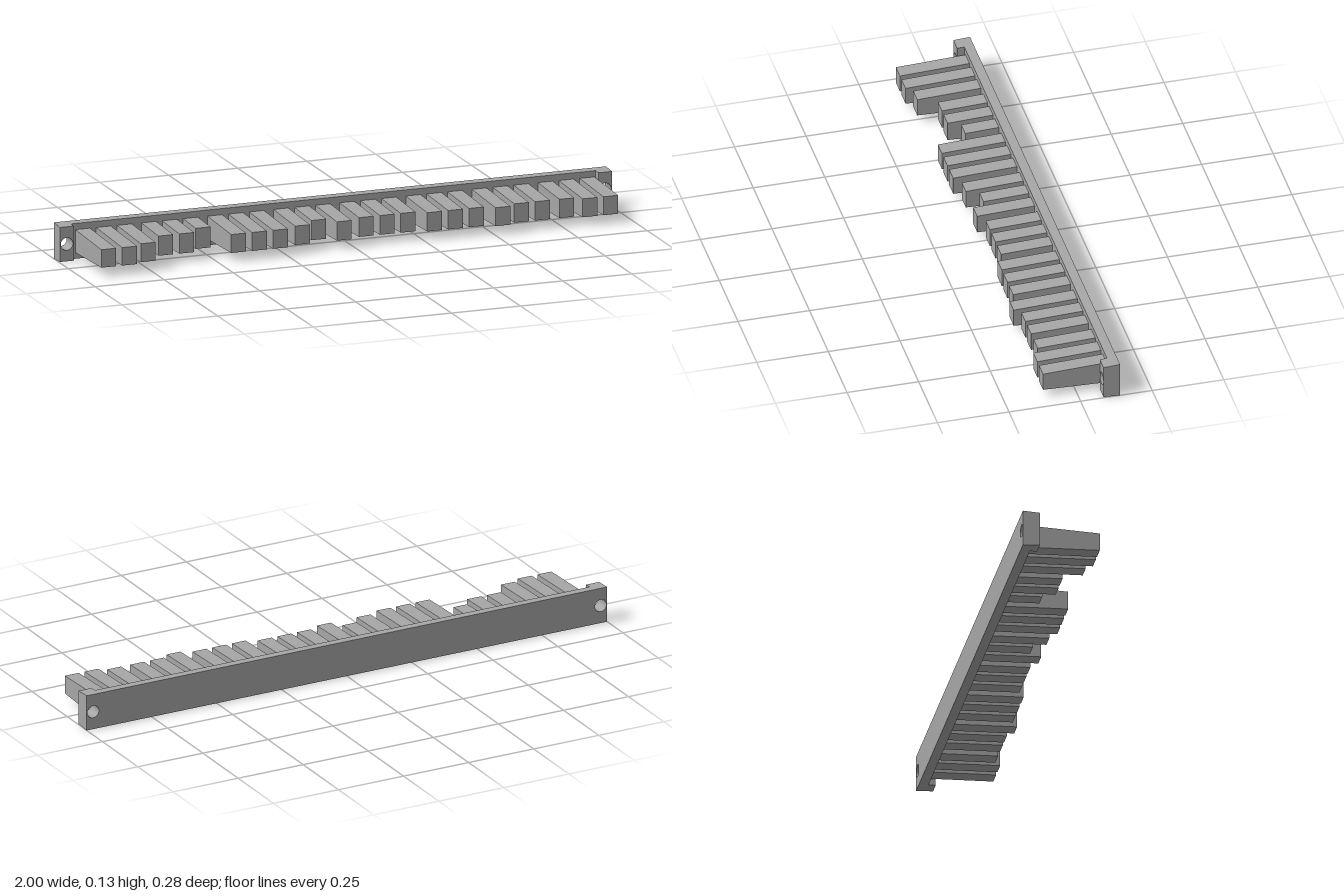
import * as THREE from 'three';

const MID_Y = 0.0635, BACK = -0.138, PLATE_FRONT = -0.105, BLOCK_FRONT = -0.08;
const HOLE_X = 0.975, HOLE_R = 0.022;

// tooth tip depth, in eight groups of three from -x to +x
const TIPS = [
  [0.138, 0.138, 0.117], [0.054, 0.054, 0.012], [0.117, 0.117, 0.117], [0.096, 0.054, 0.096],
  [0.075, 0.075, 0.075], [0.096, 0.096, 0.096], [0.117, 0.096, 0.096], [0.096, 0.117, 0.117],
];

// rectangle in x and y with screw holes, extruded from z0 to z1; outer edges drafted
function drilledBar(x0, x1, holes, z0, z1) {
  const shape = new THREE.Shape();
  shape.moveTo(x0, -0.0635).lineTo(x1, -0.0635).lineTo(x1, 0.0635).lineTo(x0, 0.0635).closePath();
  for (const x of holes) {
    shape.holes.push(new THREE.Path().absarc(x, 0, HOLE_R, 0, Math.PI * 2, true));
  }
  const geo = new THREE.ExtrudeGeometry(shape, { depth: z1 - z0, bevelEnabled: false, curveSegments: 16 });
  geo.translate(0, 0, z0);
  const p = geo.attributes.position;
  for (let i = 0; i < p.count; i++) {
    if (Math.abs(p.getY(i)) > 0.06) {
      p.setY(i, Math.sign(p.getY(i)) * (0.0635 - 0.052 * (p.getZ(i) - BACK)));
    }
  }
  geo.translate(0, MID_Y, 0);
  geo.computeVertexNormals();
  return geo;
}

// box tapering in height towards its tip
function toothGeometry(tip) {
  const length = tip - PLATE_FRONT;
  const geo = new THREE.BoxGeometry(0.0535, 1, length);
  geo.translate(0, 0, PLATE_FRONT + length / 2);
  const p = geo.attributes.position;
  for (let i = 0; i < p.count; i++) {
    p.setY(i, Math.sign(p.getY(i)) * (0.0393 - 0.036 * (p.getZ(i) - BLOCK_FRONT)));
  }
  geo.computeVertexNormals();
  return geo;
}

export function createModel() {
  const model = new THREE.Group();
  const grey = new THREE.MeshStandardMaterial({ color: 0xa6a6a6 });
  grey.name = 'grey';
  const add = (name, geo) => {
    const mesh = new THREE.Mesh(geo, grey);
    mesh.name = name;
    model.add(mesh);
    return mesh;
  };

  // back plate with a screw hole at each end
  add('backPlate', drilledBar(-1, 1, [-HOLE_X, HOLE_X], BACK, PLATE_FRONT));

  // raised mounting blocks around the holes
  add('rightEndBlock', drilledBar(-1, -0.95, [-HOLE_X], PLATE_FRONT, BLOCK_FRONT));
  add('leftEndBlock', drilledBar(0.95, 1, [HOLE_X], PLATE_FRONT, BLOCK_FRONT));

  // teeth of varied length
  TIPS.forEach((group, g) => group.forEach((tip, i) => {
    const tooth = add('tooth', toothGeometry(tip));
    tooth.position.set(-0.908 + g * 0.2394 + i * 0.0757, MID_Y, 0);
  }));
  return model;
}
